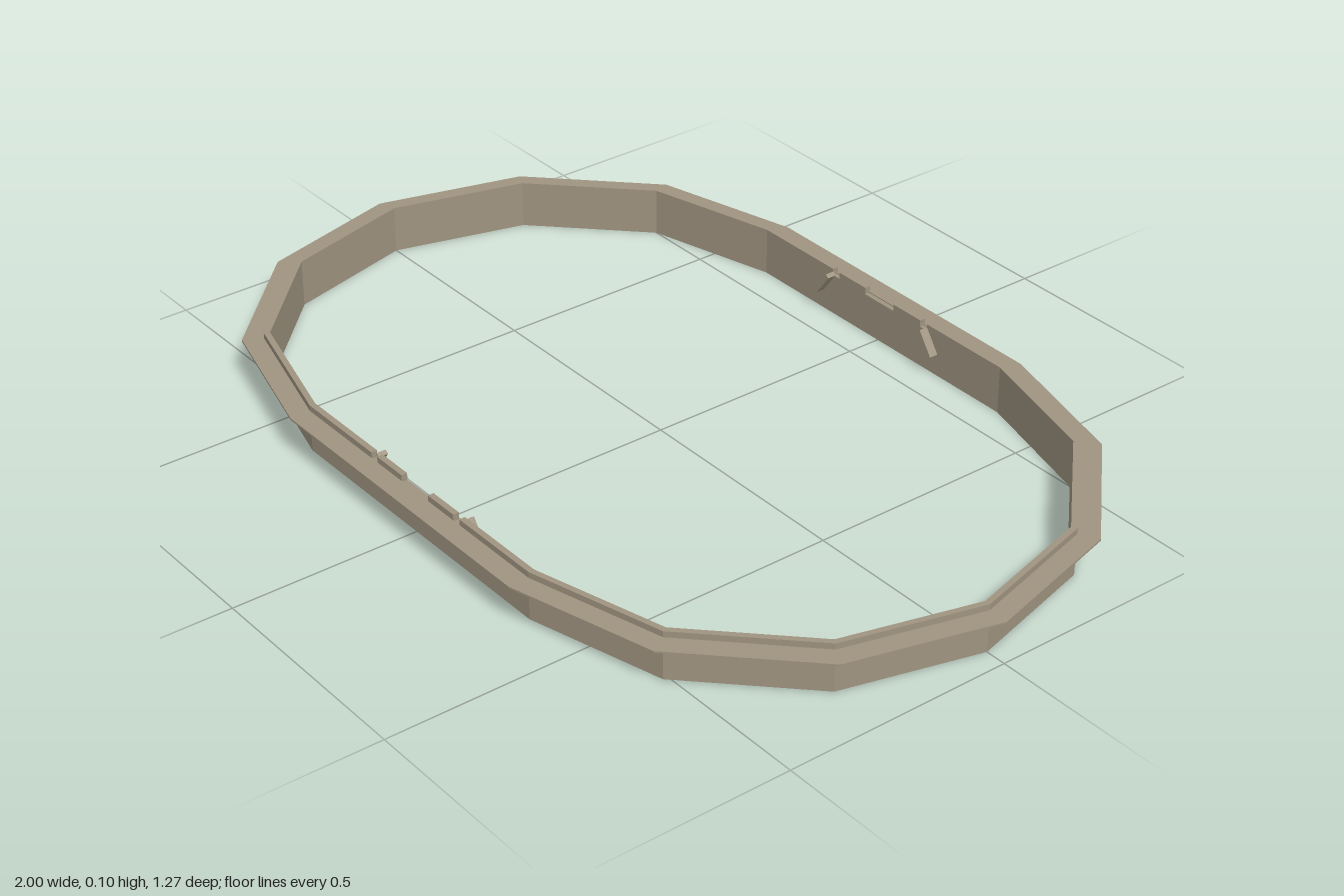
import * as THREE from 'three';

const HALF = 0.365; // half length of the straight sides
const WALL_OUT = 0.59, WALL_IN = 0.577, FLANGE_OUT = 0.635;
const LEDGE = 0.09, TOP = 0.105;

// Half of a faceted oval, from the front straight round the end to the back straight
function endPoints(radius) {
  const points = [];
  for (let i = -3; i <= 3; i++) {
    const a = (i * Math.PI) / 6;
    points.push(new THREE.Vector2(HALF + radius * Math.cos(a), radius * Math.sin(a)));
  }
  return points;
}

function oval(radius) {
  const end = endPoints(radius);
  return [...end, ...end.map((p) => new THREE.Vector2(-p.x, -p.y))];
}

// Upright extrusion of a plan shape between two heights
function slab(shape, y0, y1) {
  const g = new THREE.ExtrudeGeometry(shape, { depth: y1 - y0, bevelEnabled: false });
  return g.rotateX(-Math.PI / 2).translate(0, y0, 0);
}

function ring(outer, inner, y0, y1) {
  const shape = new THREE.Shape(oval(outer));
  shape.holes.push(new THREE.Path(oval(inner)));
  return slab(shape, y0, y1);
}

export function createModel() {
  const group = new THREE.Group();
  const tan = new THREE.MeshStandardMaterial({ color: 0xa09480 });
  tan.name = 'tan';
  const add = (name, geometry) => {
    const mesh = new THREE.Mesh(geometry, tan);
    mesh.name = name;
    group.add(mesh);
    return mesh;
  };

  // Main wall and the thin flange around it
  add('wall', ring(WALL_OUT, WALL_IN, 0, LEDGE));
  add('flange', ring(FLANGE_OUT, WALL_OUT - 0.002, LEDGE - 0.002, LEDGE + 0.002));

  // Raised rim round each end, stopping at the narrow slots
  const slot = 0.147;
  const rimShape = new THREE.Shape([
    new THREE.Vector2(slot, -WALL_OUT),
    ...endPoints(WALL_OUT),
    new THREE.Vector2(slot, WALL_OUT),
    new THREE.Vector2(slot, WALL_IN),
    ...endPoints(WALL_IN).reverse(),
    new THREE.Vector2(slot, -WALL_IN),
  ]);
  add('leftRim', slab(rimShape, LEDGE, TOP));
  add('rightRim', slab(rimShape, LEDGE, TOP)).rotation.y = Math.PI;

  for (const sz of [-1, 1]) {
    for (const sx of [-1, 1]) {
      // Short rim piece between the slot and the middle notch
      const piece = new THREE.BoxGeometry(0.083, TOP - LEDGE, WALL_OUT - WALL_IN);
      piece.translate(sx * 0.0855, (TOP + LEDGE) / 2, (sz * (WALL_OUT + WALL_IN)) / 2);
      add('rimPiece', piece);

      // Slanted rib on the inner face, running down and outward from the slot
      const rib = new THREE.BoxGeometry(0.01, 0.06, 0.021);
      rib.rotateZ(sx * 0.62);
      rib.translate(sx * 0.161, 0.071, sz * 0.5675);
      add('slantedRib', rib);
    }
  }
  return group;
}
